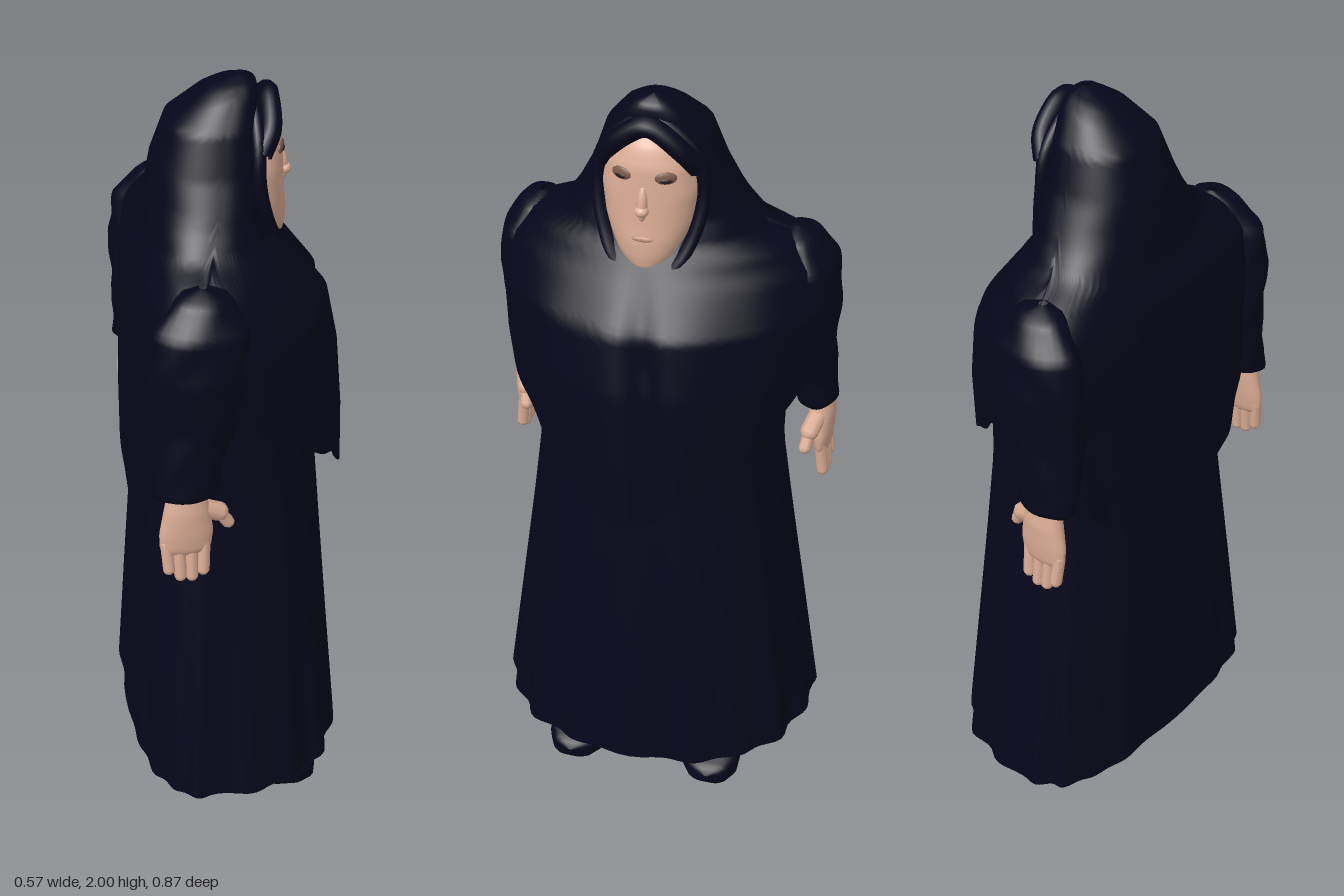
import * as THREE from 'three';

const mat = (name, color, side = THREE.DoubleSide) => {
  const m = new THREE.MeshStandardMaterial({ color, side });
  m.name = name;
  return m;
};

// Surface from closed rings: f(angle, t) returns [x, y, z]
function surface(nu, nv, f) {
  const pos = [], idx = [];
  for (let j = 0; j <= nv; j++)
    for (let i = 0; i < nu; i++) pos.push(...f((i / nu) * Math.PI * 2, j / nv));
  for (let j = 0; j < nv; j++)
    for (let i = 0; i < nu; i++) {
      const k = (i + 1) % nu, a = j * nu + i, b = j * nu + k;
      idx.push(a, a + nu, b, b, a + nu, b + nu);
    }
  const g = new THREE.BufferGeometry();
  g.setAttribute('position', new THREE.Float32BufferAttribute(pos, 3));
  g.setIndex(idx);
  g.computeVertexNormals();
  return g;
}

// Interpolate a table row by its first column (descending or ascending)
function sample(table, key) {
  const up = table[0][0] < table[table.length - 1][0] ? 1 : -1;
  let i = 0;
  while (i < table.length - 2 && (key - table[i + 1][0]) * up > 0) i++;
  const a = table[i], b = table[i + 1];
  const t = Math.min(1, Math.max(0, (key - a[0]) / (b[0] - a[0])));
  return a.map((v, n) => v + (b[n] - v) * t);
}

// Body outline with separate roundness for front (+x) and back
function outline(a, [, back, front, half, mid], nFront, nBack, wave = 0) {
  const c = Math.cos(a), s = Math.sin(a), e = 2 / (c > 0 ? nFront : nBack);
  const x = Math.sign(c) * Math.abs(c) ** e * (c > 0 ? front - mid : mid - back);
  const z = Math.sign(s) * Math.abs(s) ** e * half;
  return [mid + x * (1 + wave), z * (1 + wave)];
}

export function createModel() {
  const group = new THREE.Group();
  const navy = mat('navy cloth', 0x06061b);
  const skin = mat('skin', 0xdcae96);
  const stocking = mat('brown stocking', 0x86614f);
  const lid = mat('brown eyelid', 0x7d5a4c);
  const dark = mat('dark eye', 0x2c2020);
  const lips = mat('lips', 0xc4937f);
  const add = (name, geo, m, parent = group) => {
    const mesh = new THREE.Mesh(geo, m);
    mesh.name = name;
    parent.add(mesh);
    return mesh;
  };
  const blob = (name, m, parent, [x, y, z], [a, b, c]) => {
    const mesh = add(name, new THREE.SphereGeometry(1, 16, 12), m, parent);
    mesh.position.set(x, y, z);
    mesh.scale.set(a, b, c);
    return mesh;
  };
  const tube = (name, pts, r, m, closed = false) => add(name, new THREE.TubeGeometry(
    new THREE.CatmullRomCurve3(pts.map(p => new THREE.Vector3(...p)), closed), 48, r, 10, closed), m);

  // Long dress: height, back, front, half width, middle
  const dress = [
    [1.52, -0.1, 0.05, 0.1, -0.05], [1.48, -0.2, 0.15, 0.29, -0.06], [1.3, -0.21, 0.2, 0.32, -0.06],
    [1.0, -0.232, 0.215, 0.31, -0.06], [0.8, -0.244, 0.23, 0.335, -0.07],
    [0.5, -0.262, 0.252, 0.375, -0.08], [0.15, -0.281, 0.278, 0.42, -0.09]];
  add('dress', surface(120, 30, (a, t) => {
    const hem = 0.149 - 0.012 * Math.cos(a) + 0.002 * Math.cos(18 * a);
    const y = 1.52 + (hem - 1.52) * t;
    const wave = 0.03 * t * t * (Math.cos(18 * a) * 0.7 + Math.sin(11 * a) * 0.3);
    const [x, z] = outline(a, sample(dress, y), 2.3, 2.8, wave);
    return [x, y, z];
  }), navy);

  // Head shawl, falling to a point in front and behind, lifted over the arms
  const shawl = [
    [2.0, 0.03, 0.03, 0, 0.03], [1.99, -0.03, 0.065, 0.04, 0.02], [1.965, -0.07, 0.07, 0.075, 0],
    [1.9, -0.15, 0.07, 0.125, -0.03], [1.8, -0.185, 0.07, 0.16, -0.04], [1.7, -0.2, 0.075, 0.212, -0.06],
    [1.64, -0.205, 0.1, 0.255, -0.08], [1.61, -0.21, 0.12, 0.33, -0.09], [1.55, -0.237, 0.165, 0.39, -0.1],
    [1.45, -0.25, 0.24, 0.42, -0.1], [1.3, -0.252, 0.268, 0.41, -0.1], [1.1, -0.26, 0.282, 0.38, -0.1],
    [0.86, -0.262, 0.285, 0.33, -0.1]];
  add('shawl', surface(128, 72, (a, t) => {
    const c = Math.cos(a), f = Math.max(0, c), b = Math.max(0, -c);
    const hem = 1.4 - 0.4 * f ** 0.9 - 0.09 * f ** 12 - 0.47 * b ** 0.65 - 0.06 * b ** 12
      + 0.008 * Math.cos(14 * a);
    const y = 2 + (hem - 2) * t;
    const low = Math.max(0, (1.6 - y) / 0.7);
    const upper = Math.min(1, Math.max(0, (y - 1.58) / 0.15));
    const [x, z] = outline(a, sample(shawl, y), 1.85 + 0.75 * upper, 3 - 0.8 * upper,
      0.018 * low * Math.sin(13 * a));
    // Slanting hollow where the two halves cross on the chest
    const hollow = f > 0 ? 0.025 * Math.min(1, low * 3) * Math.exp(-(((z + 0.08 * low) / 0.035) ** 2)) : 0;
    return [x - hollow, y, z];
  }), navy);

  // Face
  const face = [
    [1.56, 0.08, 0.1, 0.01, 0.09], [1.575, 0.05, 0.128, 0.04, 0.07], [1.62, 0.04, 0.138, 0.076, 0.06],
    [1.66, 0.03, 0.139, 0.094, 0.05], [1.7, 0.03, 0.135, 0.109, 0.04], [1.78, 0.03, 0.131, 0.118, 0.04],
    [1.85, 0.03, 0.128, 0.106, 0.04], [1.9, 0.03, 0.112, 0.075, 0.04], [1.93, 0.05, 0.08, 0.01, 0.06]];
  add('face', surface(40, 28, (a, t) => {
    const y = 1.56 + 0.37 * t;
    const [x, z] = outline(a, sample(face, y), 2.2, 2);
    return [x, y, z];
  }), skin);
  blob('nose', skin, group, [0.13, 1.765, 0], [0.016, 0.045, 0.013]).rotation.z = 0.15;
  blob('noseTip', skin, group, [0.138, 1.748, 0], [0.016, 0.014, 0.017]);
  blob('mouth', lips, group, [0.136, 1.672, 0], [0.005, 0.007, 0.026]);
  for (const s of [1, -1]) {
    const eye = new THREE.Group();
    eye.name = 'eye';
    eye.position.set(0.118, 1.83, 0.053 * s);
    eye.rotation.y = -0.35 * s;
    group.add(eye);
    blob('eyelid', lid, eye, [0, 0.002, 0], [0.007, 0.016, 0.026]);
    blob('pupil', dark, eye, [0.004, -0.003, 0], [0.005, 0.007, 0.015]);
  }

  // Hood rim around the face and the rolled scarf on the forehead
  tube('hoodRim', [[0.055, 1.95, 0], [0.055, 1.87, 0.108], [0.055, 1.77, 0.128], [0.08, 1.66, 0.108],
    [0.112, 1.585, 0.066], [0.12, 1.555, 0], [0.112, 1.585, -0.066], [0.08, 1.66, -0.108],
    [0.055, 1.77, -0.128], [0.055, 1.87, -0.108]], 0.017, navy, true);
  tube('foreheadScarf', [[0.06, 1.84, 0.112], [0.088, 1.89, 0.082], [0.095, 1.943, 0.015],
    [0.095, 1.943, -0.015], [0.088, 1.89, -0.082], [0.06, 1.84, -0.112]], 0.026, navy);

  // Arms, hands, legs and shoes for each side
  const sleeve = [ // height, x, z, x radius, z radius
    [1.625, -0.11, 0.32, 0.01, 0.01], [1.61, -0.11, 0.33, 0.06, 0.045], [1.53, -0.12, 0.355, 0.115, 0.068],
    [1.42, -0.122, 0.357, 0.127, 0.077], [1.28, -0.14, 0.348, 0.106, 0.075],
    [1.18, -0.158, 0.365, 0.085, 0.062], [1.095, -0.167, 0.383, 0.078, 0.05], [1.09, -0.167, 0.385, 0.04, 0.02]];
  const hand = [
    [1.13, -0.165, 0.389, 0.042, 0.032], [1.06, -0.166, 0.395, 0.056, 0.034], [1.0, -0.168, 0.398, 0.066, 0.028],
    [0.95, -0.171, 0.4, 0.062, 0.02], [0.935, -0.171, 0.401, 0.03, 0.008]];
  const shoe = [ // x, bottom, top, half width
    [-0.108, 0.04, 0.1, 0.005], [-0.1, 0, 0.13, 0.042], [-0.06, 0, 0.127, 0.06], [-0.02, 0, 0.117, 0.062],
    [0.01, 0.022, 0.108, 0.064], [0.05, 0.008, 0.098, 0.07], [0.09, 0, 0.09, 0.08],
    [0.15, 0, 0.08, 0.078], [0.195, 0.005, 0.06, 0.05], [0.207, 0.02, 0.04, 0.006]];
  for (const s of [1, -1]) {
    const side = s > 0 ? 'right' : 'left';
    const limb = (name, table, nv, m, wave) => add(name, surface(28, nv, (a, t) => {
      const y = table[0][0] + (table[table.length - 1][0] - table[0][0]) * t;
      const [, x, z, rx, rz] = sample(table, y);
      const w = 1 + wave * Math.sin(5 * a + 40 * y);
      return [x + Math.cos(a) * rx * w, y, s * (z + Math.sin(a) * rz * w)];
    }), m);
    limb(side + 'Sleeve', sleeve, 40, navy, 0.03);
    limb(side + 'Palm', hand, 16, skin, 0);

    const finger = (name, from, to, r) => {
      const a = new THREE.Vector3(...from), d = new THREE.Vector3(...to).sub(a);
      const f = add(name, new THREE.CapsuleGeometry(r, d.length(), 4, 8), skin);
      f.position.copy(a).addScaledVector(d, 0.5);
      f.quaternion.setFromUnitVectors(new THREE.Vector3(0, 1, 0), d.normalize());
    };
    [0.9, 0.878, 0.875, 0.89].forEach((tip, i) => finger(side + 'Finger',
      [-0.218 + i * 0.031, 0.97, 0.4 * s], [-0.213 + i * 0.028, tip, 0.408 * s], 0.0155));
    finger(side + 'Thumb', [-0.13, 1.06, 0.39 * s], [-0.085, 1.035, 0.378 * s], 0.024);
    finger(side + 'ThumbTip', [-0.085, 1.035, 0.378 * s], [-0.062, 0.998, 0.372 * s], 0.016);

    limb(side + 'Leg', [[0.75, -0.03, 0.15, 0.1, 0.1], [0.4, -0.035, 0.165, 0.085, 0.08],
      [0.2, -0.03, 0.172, 0.066, 0.055], [0.07, -0.02, 0.175, 0.07, 0.05]], 14, stocking, 0);

    add(side + 'Shoe', surface(28, 32, (a, t) => {
      const [x, lo, hi, w] = sample(shoe, -0.108 + 0.315 * t);
      const c = Math.cos(a), n = Math.sin(a);
      const y = (lo + hi) / 2 + Math.sign(n) * Math.abs(n) ** 0.6 * (hi - lo) / 2;
      return [x, y, s * (0.177 + 0.08 * x) + Math.sign(c) * Math.abs(c) ** 0.6 * w];
    }), navy);
  }
  return group;
}
